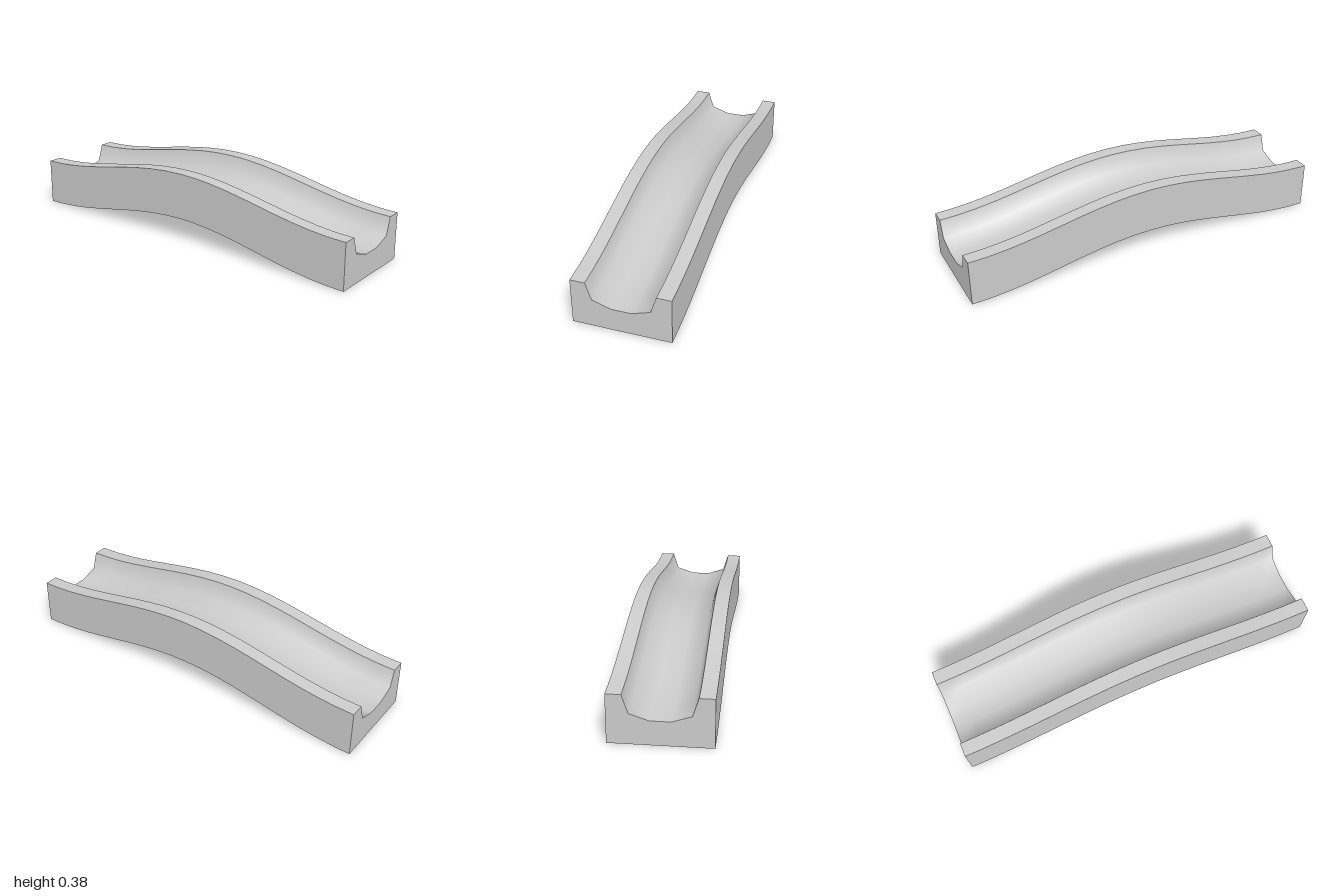
import * as THREE from 'three';
import { mergeGeometries } from 'three/addons/utils/BufferGeometryUtils.js';

const SEGMENTS = 20, HALF_LENGTH = 1, RISE = 0.125;

// Height of the hump along the length
const hump = z => RISE * (1 + Math.cos(Math.PI * z / HALF_LENGTH)) / 2;

// Sweeps a run of profile points along the hump, smooth within the run
function sweep(run) {
  const pos = [], uv = [], index = [], n = run.length;
  for (let j = 0; j <= SEGMENTS; j++) {
    const z = -HALF_LENGTH + 2 * HALF_LENGTH * j / SEGMENTS;
    run.forEach(([x, y], i) => {
      pos.push(x, y + hump(z), z);
      uv.push(i / (n - 1), j / SEGMENTS);
    });
  }
  for (let j = 0; j < SEGMENTS; j++) {
    for (let i = 0; i < n - 1; i++) {
      const a = j * n + i, b = a + 1, c = a + n, d = c + 1;
      index.push(a, b, c, b, d, c);
    }
  }
  const g = new THREE.BufferGeometry();
  g.setAttribute('position', new THREE.Float32BufferAttribute(pos, 3));
  g.setAttribute('uv', new THREE.Float32BufferAttribute(uv, 2));
  g.setIndex(index);
  g.computeVertexNormals();
  return g;
}

export function createModel() {
  const group = new THREE.Group();
  group.name = 'humpedChannelTrack';
  const material = new THREE.MeshStandardMaterial({ color: 0xcccccc });
  const add = (name, geometry) => {
    const mesh = new THREE.Mesh(geometry, material);
    mesh.name = name;
    group.add(mesh);
    return mesh;
  };

  // Cross-section, counter-clockwise seen from the front
  const half = [[0.175, 0.25], [0.145, 0.157], [0.05, 0.125]];
  const trough = [...half, ...half.map(([x, y]) => [-x, y]).reverse()];
  const bottomL = [0.25, 0], topL = [0.25, 0.25];
  const bottomR = [-0.25, 0], topR = [-0.25, 0.25];

  // Long surfaces, split where the edges are sharp
  add('trough', sweep(trough));
  add('rims', mergeGeometries([sweep([topL, trough[0]]), sweep([trough.at(-1), topR])]));
  add('sides', mergeGeometries([sweep([bottomL, topL]), sweep([topR, bottomR])]));
  add('underside', sweep([bottomR, bottomL]));

  // End faces
  const outline = [bottomR, bottomL, topL, ...trough, topR].map(p => new THREE.Vector2(...p));
  const endGeometry = new THREE.ShapeGeometry(new THREE.Shape(outline));
  add('frontEnd', endGeometry).position.z = HALF_LENGTH;
  const back = add('backEnd', endGeometry);
  back.position.z = -HALF_LENGTH;
  back.rotation.y = Math.PI;

  return group;
}
